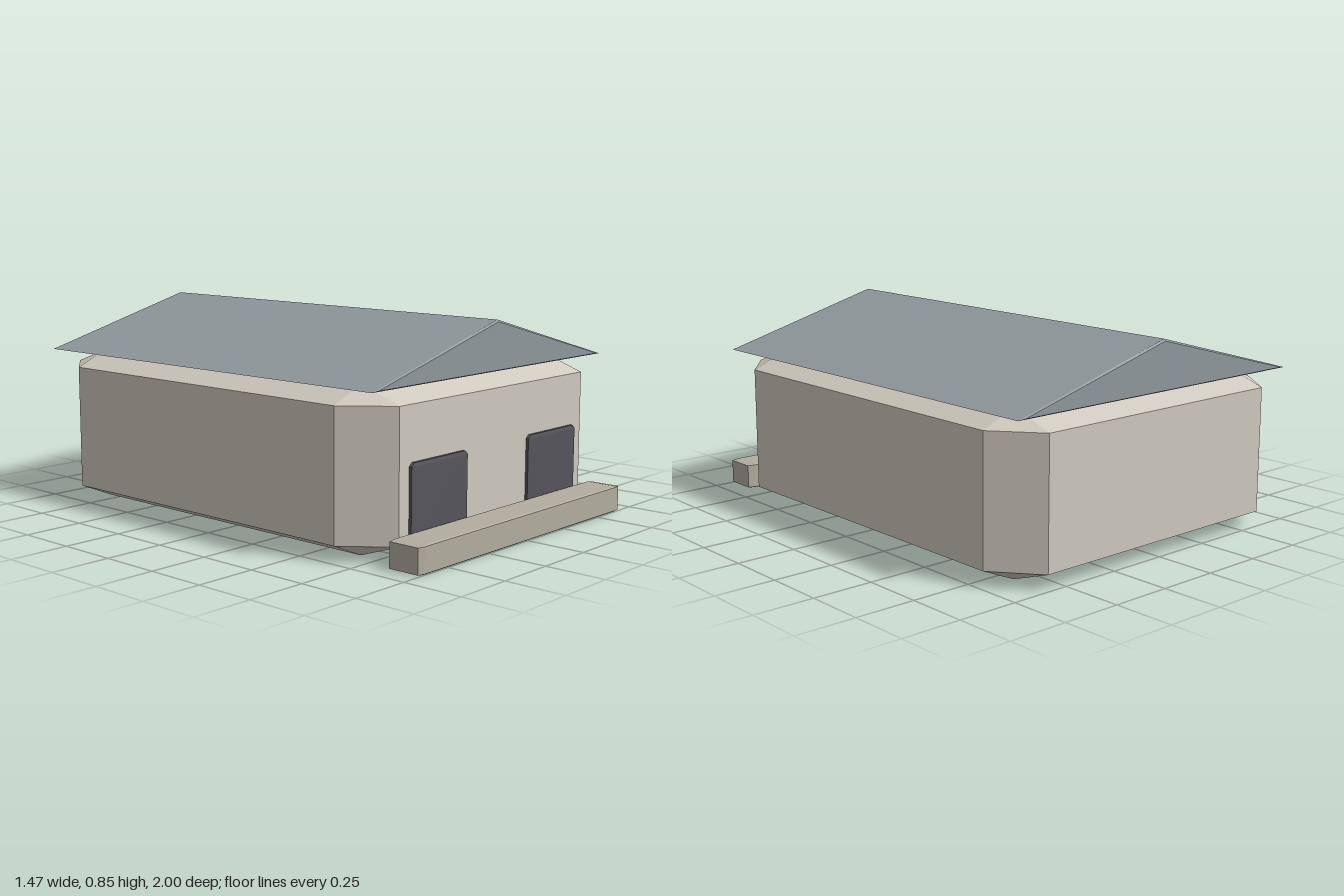
import * as THREE from 'three';
import { ConvexGeometry } from 'three/addons/geometries/ConvexGeometry.js';

const material = (color) => new THREE.MeshStandardMaterial({ color, flatShading: true });
const wallMaterial = material(0xd0cabf);
const roofMaterial = material(0x90989c);
const doorMaterial = material(0x56555b);
const stepMaterial = material(0xb2ad9f);

function addHull(group, name, points, mat) {
  const mesh = new THREE.Mesh(new ConvexGeometry(points), mat);
  mesh.name = name;
  group.add(mesh);
}

// Box between two corners, with every edge chamfered by a per-axis amount
function chamferedPoints(min, max, chamfer) {
  const points = [];
  for (let full = 0; full < 3; full++) {
    for (let corner = 0; corner < 8; corner++) {
      const p = [0, 1, 2].map((axis) => {
        const inset = axis === full ? 0 : chamfer[axis];
        return corner & (1 << axis) ? max[axis] - inset : min[axis] + inset;
      });
      points.push(new THREE.Vector3(...p));
    }
  }
  return points;
}

export function createModel() {
  const group = new THREE.Group();
  group.name = 'house';

  // Walls: one block with broad chamfers
  addHull(group, 'walls',
    chamferedPoints([-0.737, 0.002, -1], [0.737, 0.647, 0.843], [0.147, 0.064, 0.182]), wallMaterial);

  // Gable roof: a triangular prism with slim bevelled ends
  const roof = [];
  const sections = [
    { z: -1, x: 0.705, low: 0.651, high: 0.839 },
    { z: -0.994, x: 0.735, low: 0.647, high: 0.847 },
    { z: 0.836, x: 0.735, low: 0.647, high: 0.847 },
    { z: 0.842, x: 0.705, low: 0.651, high: 0.839 },
  ];
  for (const { z, x, low, high } of sections) {
    roof.push(new THREE.Vector3(-x, low, z), new THREE.Vector3(x, low, z), new THREE.Vector3(0, high, z));
  }
  addHull(group, 'roof', roof, roofMaterial);

  // Two dark doors on the front wall
  for (const [name, x] of [['leftDoor', 0.367], ['rightDoor', -0.367]]) {
    addHull(group, name,
      chamferedPoints([x - 0.167, 0.01, 0.835], [x + 0.167, 0.369, 0.858], [0.015, 0.014, 0.003]), doorMaterial);
  }

  // Long step in front of the doors
  addHull(group, 'frontStep',
    chamferedPoints([-0.665, 0.002, 0.856], [0.665, 0.11, 1], [0.03, 0.004, 0.006]), stepMaterial);

  return group;
}
